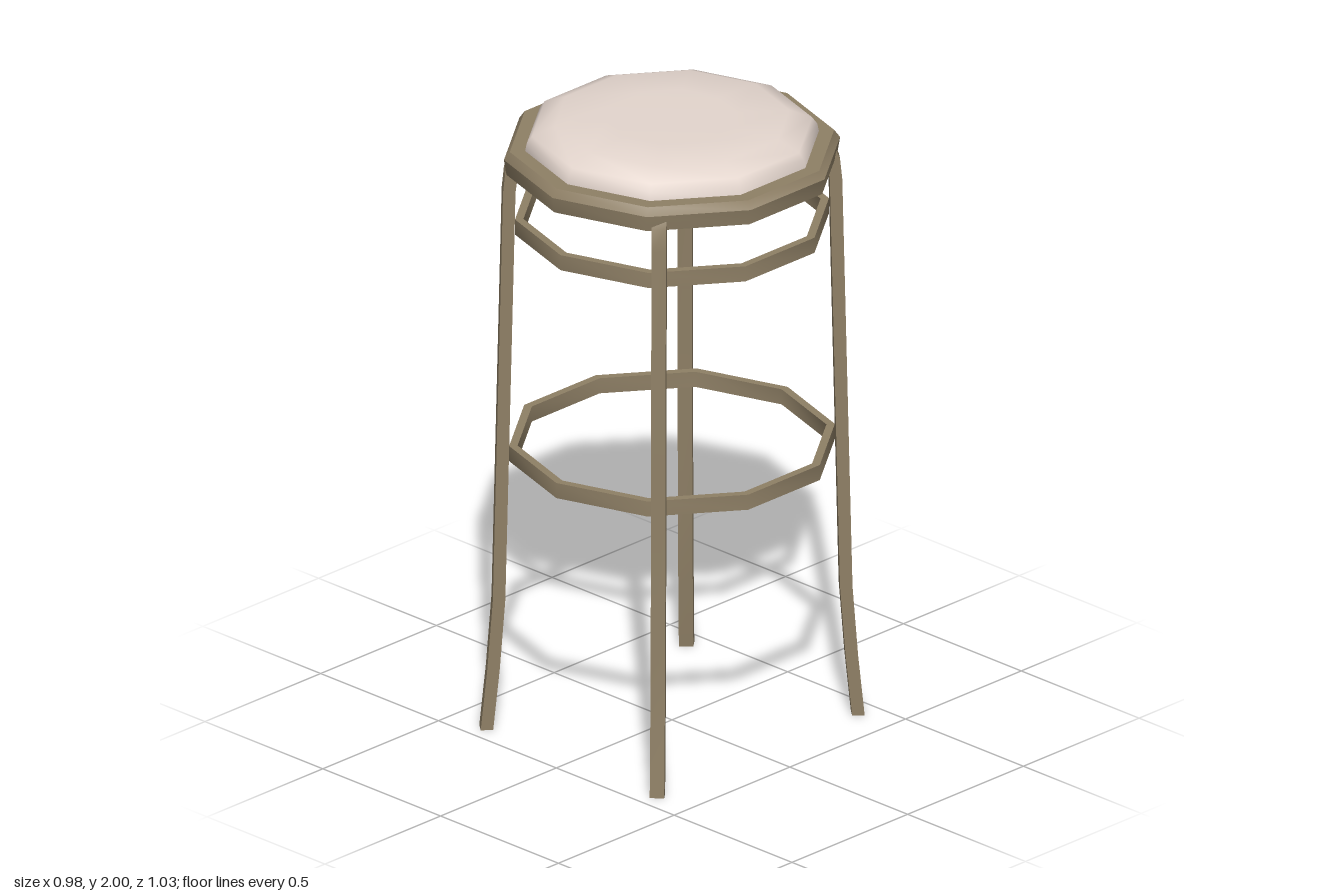
import * as THREE from 'three';
import { toCreasedNormals } from 'three/addons/utils/BufferGeometryUtils.js';

const SIDES = 10;
const wood = new THREE.MeshStandardMaterial({ color: 0x8f8066 });
const fabric = new THREE.MeshStandardMaterial({ color: 0xe4d6ce });

const points = (list) => list.map(([r, y]) => new THREE.Vector2(r, y));

// Ten-sided turned part; sharp profile edges, soft around the rim
function turned(name, profile, material, crease) {
  const geometry = toCreasedNormals(new THREE.LatheGeometry(points(profile), SIDES), crease);
  const mesh = new THREE.Mesh(geometry, material);
  mesh.name = name;
  return mesh;
}

// Flat hoop with a rectangular section
function hoop(name, radius, bottom, top) {
  const inner = radius - 0.026;
  return turned(name, [[inner, bottom], [radius, bottom], [radius, top], [inner, top], [inner, bottom]], wood, 0.7);
}

// Side outline of a bent leg: radius from the stool's axis against height
function legGeometry() {
  const outer = [[0.584, 0], [0.564, 0.2], [0.547, 0.43], [0.535, 0.95], [0.516, 1.78], [0.509, 1.85], [0.494, 1.88], [0.465, 1.895]];
  const inner = [[0.455, 1.86], [0.47, 1.84], [0.478, 1.78], [0.497, 0.95], [0.509, 0.43], [0.526, 0.2], [0.546, 0]];
  const width = 0.044;
  const geometry = new THREE.ExtrudeGeometry(new THREE.Shape(points([...outer, ...inner])), { depth: width, bevelEnabled: false });
  geometry.translate(0, 0, -width / 2);
  return toCreasedNormals(geometry, 0.5);
}

export function createModel() {
  const stool = new THREE.Group();
  stool.name = 'stool';

  // Seat
  stool.add(turned('seatFrame', [[0, 1.845], [0.508, 1.845], [0.516, 1.895], [0.498, 1.92], [0, 1.92]], wood, 0.7));
  stool.add(turned('cushion', [[0.452, 1.915], [0.446, 1.945], [0.43, 1.967], [0.36, 1.996], [0.2, 2], [0, 2]], fabric, 1.2));

  // Bracing hoops inside the legs
  stool.add(hoop('upperHoop', 0.482, 1.645, 1.695));
  stool.add(hoop('footHoop', 0.5, 0.895, 0.945));

  // Four legs, mirrored about both axes
  const geometry = legGeometry();
  const names = ['frontLeftLeg', 'backLeftLeg', 'backRightLeg', 'frontRightLeg'];
  [40, 140, 220, 320].forEach((angle, i) => {
    const leg = new THREE.Mesh(geometry, wood);
    leg.name = names[i];
    leg.rotation.y = THREE.MathUtils.degToRad(angle - 90);
    stool.add(leg);
  });
  return stool;
}
